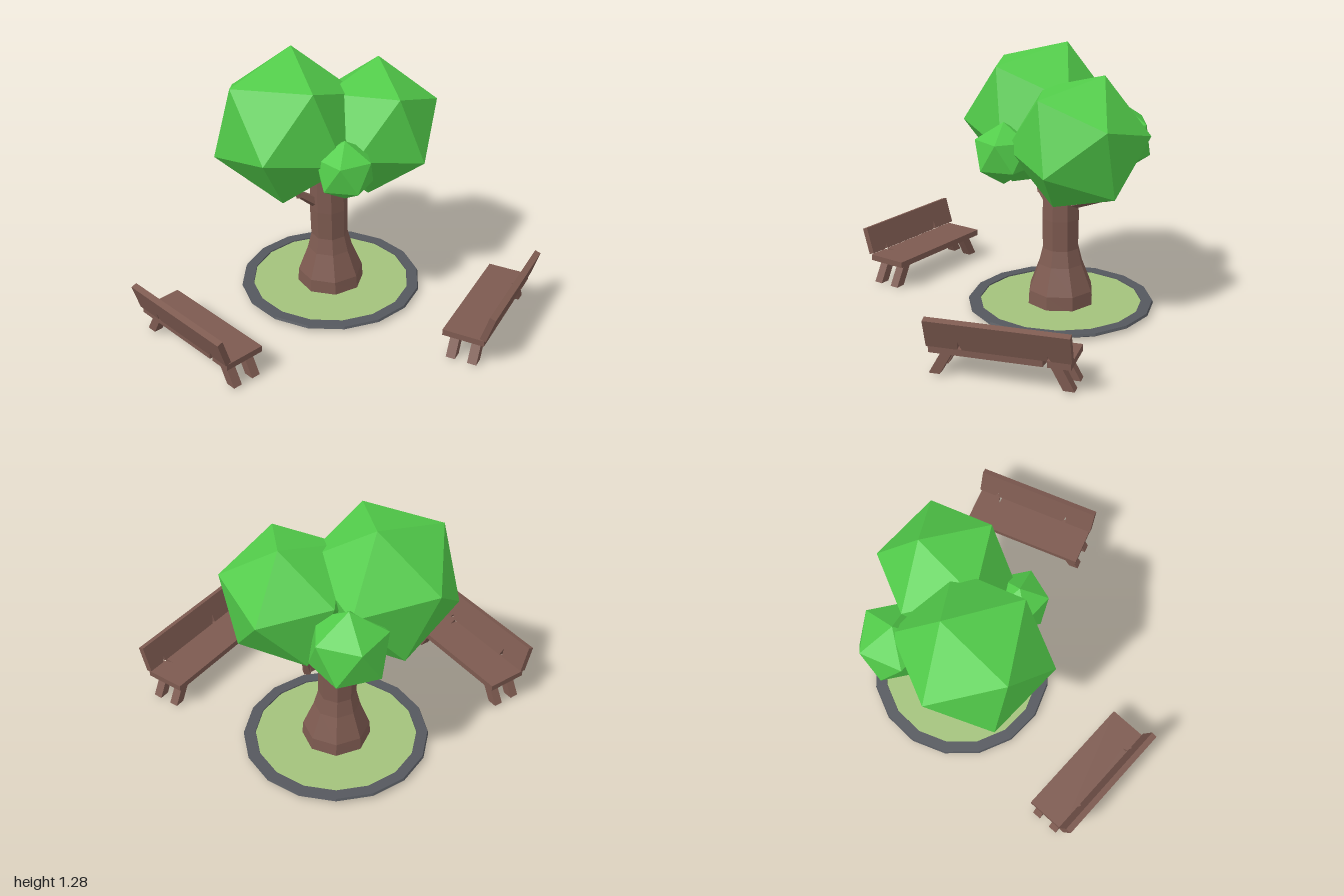
import * as THREE from 'three';

const flat = (color) => new THREE.MeshStandardMaterial({ color, flatShading: true });
const leaf = flat(0x52cc4a);
const wood = flat(0x7d5a50);
const stone = flat(0x55585e);
const grass = flat(0xa3c27c);

const v = (x, y, z) => new THREE.Vector3(x, y, z);

function part(name, geometry, material) {
  const mesh = new THREE.Mesh(geometry, material);
  mesh.name = name;
  return mesh;
}

// Twenty-sided leaf clump, turned so that one of its edges runs from a to b
function leafClump(name, radius, center, a, b) {
  const edge = b.clone().sub(a).normalize();
  const out = a.clone().add(b).multiplyScalar(0.5).sub(center);
  out.addScaledVector(edge, -out.dot(edge)).normalize();
  const side = edge.clone().cross(out);
  const clump = part(name, new THREE.IcosahedronGeometry(radius, 0), leaf);
  clump.quaternion.setFromRotationMatrix(new THREE.Matrix4().makeBasis(edge, out, side));
  clump.position.copy(center);
  return clump;
}

// Small clump standing on a corner
function smallClump(name, radius, c) {
  const turn = -Math.PI / 10;
  const top = v(c.x, c.y + radius, c.z);
  const next = v(Math.sin(turn) * 0.894, 0.447, Math.cos(turn) * 0.894).multiplyScalar(radius).add(c);
  return leafClump(name, radius, c, top, next);
}

// Tapered limb between two points
function limb(name, a, b, r0, r1) {
  const dir = b.clone().sub(a);
  const mesh = part(name, new THREE.CylinderGeometry(r1, r0, dir.length(), 5), wood);
  mesh.position.copy(a).add(b).multiplyScalar(0.5);
  mesh.quaternion.setFromUnitVectors(v(0, 1, 0), dir.normalize());
  return mesh;
}

// Board in the xy plane with thin cracks cut in from its lower edge: [x, depth]
function plank(name, length, width, thickness, cracks) {
  const x = length / 2, y = width / 2;
  const shape = new THREE.Shape();
  shape.moveTo(-x, -y);
  for (const [cx, depth] of cracks) {
    shape.lineTo(cx - 0.012, -y);
    shape.lineTo(cx + 0.004, -y + depth);
    shape.lineTo(cx + 0.008, -y);
  }
  shape.lineTo(x, -y);
  shape.lineTo(x, y);
  shape.lineTo(-x, y);
  const geo = new THREE.ExtrudeGeometry(shape, { depth: thickness, bevelEnabled: false });
  geo.translate(0, 0, -thickness / 2);
  return part(name, geo, wood);
}

function bench(name) {
  const group = new THREE.Group();
  group.name = name;

  const seat = plank('seat', 0.628, 0.205, 0.03, [[-0.2, 0.05]]);
  seat.rotation.x = Math.PI / 2;
  seat.position.set(0, 0.135, 0.025);
  group.add(seat);

  // Backrest leans away from the sitter
  const back = plank('backrest', 0.64, 0.136, 0.03, [[-0.22, 0.025], [0.17, 0.045]]);
  back.rotation.x = -0.3;
  back.position.set(0, 0.222, -0.092);
  group.add(back);

  // Splayed legs with level feet
  for (const sx of [-1, 1]) for (const sz of [-1, 1]) {
    const geo = new THREE.BoxGeometry(0.05, 0.112, 0.045);
    const p = geo.attributes.position;
    for (let i = 0; i < p.count; i++) p.setX(i, p.getX(i) - sx * p.getY(i) * 0.55);
    const leg = part('leg', geo, wood);
    leg.position.set(sx * 0.268, 0.066, 0.025 + sz * 0.053);
    group.add(leg);
  }
  return group;
}

export function createModel() {
  const model = new THREE.Group();
  const cz = -0.195;

  // Planting bed: stone ring around a grass disc
  const ringProfile = [[0.395, 0.013], [0.45, 0.013], [0.457, 0.018], [0.452, 0.029], [0.398, 0.029], [0.395, 0.013]]
    .map(([r, y]) => new THREE.Vector2(r, y));
  const ring = part('stoneRing', new THREE.LatheGeometry(ringProfile, 16), stone);
  ring.position.z = cz;
  const lawn = part('grassDisc', new THREE.CylinderGeometry(0.398, 0.398, 0.006, 16), grass);
  lawn.position.set(0, 0.02, cz);
  model.add(ring, lawn);

  // Flared trunk, leaning slightly, its foot sunk deeper on one side
  const trunkProfile = [[0, 0], [0.168, 0], [0.163, 0.09], [0.112, 0.22], [0.092, 0.3], [0.095, 0.45], [0.083, 0.75], [0, 0.75]]
    .map(([r, y]) => new THREE.Vector2(r, y));
  const trunkGeo = new THREE.LatheGeometry(trunkProfile, 8);
  const p = trunkGeo.attributes.position;
  for (let i = 0; i < p.count; i++) {
    const x = p.getX(i), y = p.getY(i);
    if (y < 0.01) p.setY(i, 0.012 - x * 0.07);
    p.setX(i, x - 0.02 * y);
  }
  const trunk = part('trunk', trunkGeo, wood);
  trunk.position.z = cz;
  model.add(trunk);

  // Branch stubs
  const elbow = v(0.13, 0.575, -0.355);
  model.add(
    limb('rearBranch', v(0.03, 0.53, -0.21), elbow, 0.036, 0.024),
    limb('rearBranchTip', elbow.clone().add(v(0, -0.015, 0)), v(0.142, 0.645, -0.378), 0.024, 0.012),
    limb('sideBranch', v(-0.04, 0.46, -0.19), v(-0.165, 0.555, -0.145), 0.034, 0.018),
    limb('sideBranchTip', v(-0.158, 0.54, -0.147), v(-0.178, 0.6, -0.14), 0.02, 0.01)
  );

  // Crown
  model.add(
    leafClump('largeLeafClump', 0.375, v(-0.214, 0.926, -0.156), v(-0.174, 1.276, -0.285), v(-0.12, 1.187, 0.096)),
    leafClump('mediumLeafClump', 0.333, v(0.209, 0.877, -0.196), v(0.249, 1.19, -0.304), v(0.29, 1.105, 0.034)),
    smallClump('frontLeafClump', 0.15, v(0.023, 0.804, 0.105)),
    smallClump('backLeafClump', 0.197, v(-0.055, 0.81, -0.49))
  );

  // Two benches turned towards the tree
  for (const s of [-1, 1]) {
    const b = bench(s > 0 ? 'leftBench' : 'rightBench');
    b.position.set(s * 0.705, 0, 0.328);
    b.rotation.y = -s * 2.19;
    model.add(b);
  }
  return model;
}
